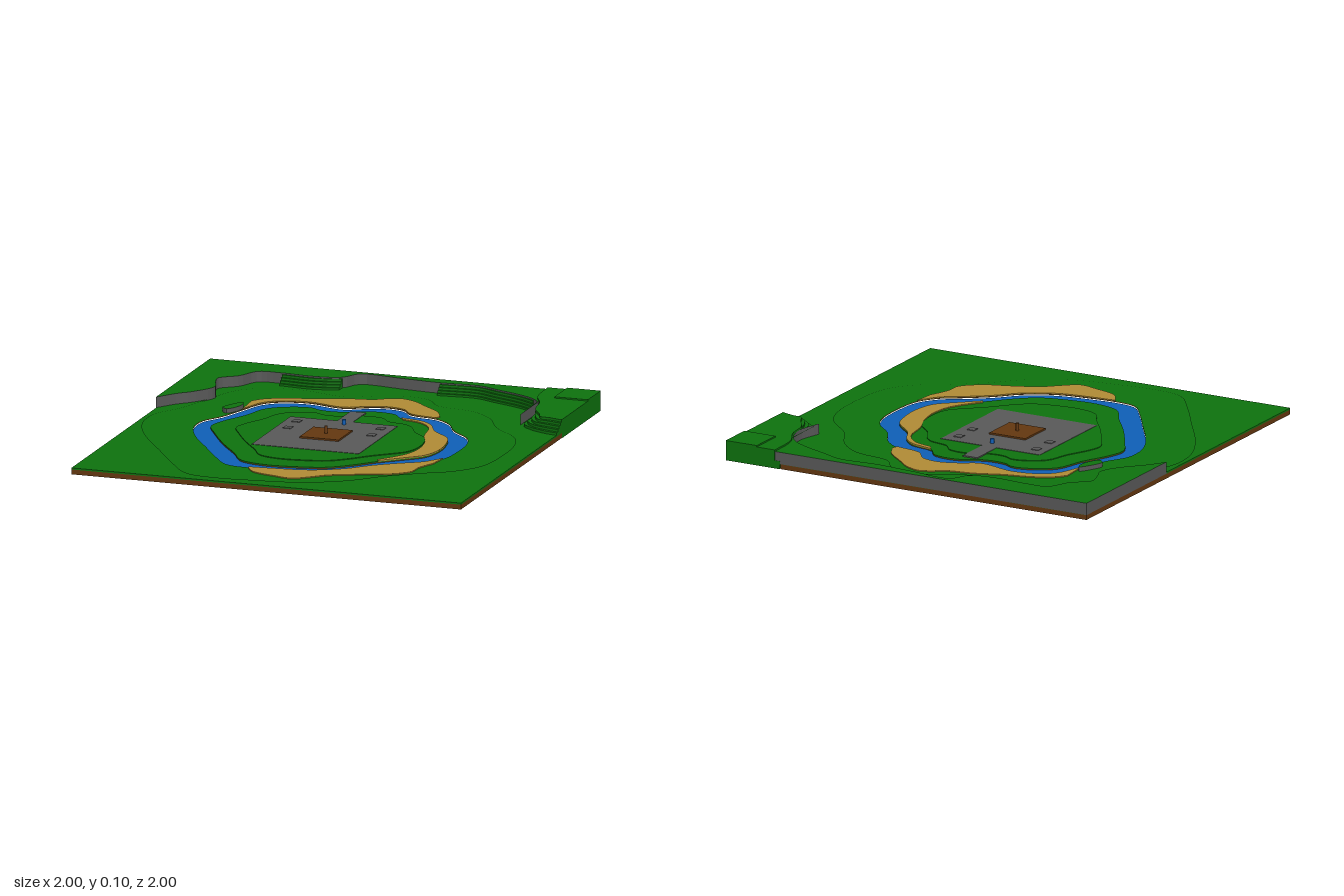
import * as THREE from 'three';

const mat = (name, color) => Object.assign(new THREE.MeshStandardMaterial({ color }), { name });
const grass = mat('grass green', 0x0e730e);
const earth = mat('earth brown', 0x643810);
const water = mat('water blue', 0x0f60b8);
const sand = mat('sand', 0xb28c36);
const stone = mat('stone grey', 0x595959);

// Outlines are lists of [x, z]
const riverOuter = [[0.05, -0.61], [0.14, -0.59], [0.2, -0.52], [0.34, -0.49], [0.43, -0.42], [0.5, -0.3],
  [0.6, -0.2], [0.64, -0.1], [0.65, 0.05], [0.63, 0.22], [0.56, 0.32], [0.47, 0.38], [0.35, 0.47], [0.25, 0.57],
  [0.1, 0.65], [-0.08, 0.68], [-0.2, 0.69], [-0.32, 0.67], [-0.42, 0.55], [-0.52, 0.4], [-0.65, 0.2],
  [-0.71, 0.05], [-0.71, -0.08], [-0.65, -0.19], [-0.6, -0.34], [-0.55, -0.48], [-0.48, -0.54],
  [-0.34, -0.57], [-0.15, -0.53], [-0.05, -0.58]];
const riverInner = [[0.06, -0.52], [0.13, -0.5], [0.18, -0.44], [0.3, -0.41], [0.36, -0.36], [0.42, -0.25],
  [0.52, -0.15], [0.55, -0.05], [0.56, 0.08], [0.53, 0.2], [0.45, 0.28], [0.35, 0.37], [0.25, 0.48],
  [0.15, 0.56], [0, 0.6], [-0.15, 0.61], [-0.28, 0.57], [-0.36, 0.45], [-0.47, 0.3], [-0.58, 0.12],
  [-0.64, 0], [-0.62, -0.1], [-0.55, -0.25], [-0.5, -0.4], [-0.4, -0.47], [-0.3, -0.49], [-0.24, -0.46],
  [-0.13, -0.46], [-0.03, -0.51]];
const cliffLine = [[-1.002, -0.22], [-0.93, -0.32], [-0.87, -0.38], [-0.8, -0.5], [-0.83, -0.6], [-0.84, -0.67],
  [-0.76, -0.74], [-0.7, -0.85], [-0.58, -0.86], [-0.4, -0.85], [-0.28, -0.88], [-0.22, -0.97], [0, -0.955],
  [0.2, -0.94], [0.4, -0.95], [0.5, -0.91], [0.65, -0.85], [0.73, -0.8], [0.78, -0.73], [0.8, -0.62], [0.77, -0.5]];

// Smooth an outline through its points
function smooth(points, closed = true) {
  const curve = new THREE.CatmullRomCurve3(points.map(([x, z]) => new THREE.Vector3(x, 0, z)), closed);
  return curve.getPoints(points.length * 4).map((p) => [p.x, p.z]);
}
const scale = (points, s) => points.map(([x, z]) => [x * s, z * s]);
const toPath = (points) => points.map(([x, z]) => new THREE.Vector2(x, -z));

// Flat layer with vertical sides between two heights
function layer(group, name, points, y0, y1, material, hole) {
  const shape = new THREE.Shape(toPath(points));
  if (hole) shape.holes.push(new THREE.Path(toPath(hole)));
  const geometry = new THREE.ExtrudeGeometry(shape, { depth: y1 - y0, bevelEnabled: false });
  geometry.rotateX(-Math.PI / 2).translate(0, y0, 0);
  const mesh = new THREE.Mesh(geometry, material);
  mesh.name = name;
  group.add(mesh);
}
const rect = (x0, x1, z0, z1) => [[x0, z0], [x1, z0], [x1, z1], [x0, z1]];

function cylinder(group, name, radius, x, z, y0, y1, material) {
  const mesh = new THREE.Mesh(new THREE.CylinderGeometry(radius, radius, y1 - y0, 12), material);
  mesh.position.set(x, (y0 + y1) / 2, z);
  mesh.name = name;
  group.add(mesh);
}

export function createModel() {
  const model = new THREE.Group();
  model.name = 'islandTerrain';
  const outer = smooth(riverOuter);
  const inner = smooth(riverInner);
  const square = rect(-1, 1, -1, 1);

  // Earth slab, open at the river and under the grassy corner hill
  const slab = [[-1, -1], [0.7, -1], [0.82, -0.75], [0.9, -0.58], [1, -0.45], [1, 1], [-1, 1]];
  layer(model, 'earthSlab', slab, 0, 0.024, earth, outer);
  layer(model, 'islandEarth', inner, 0, 0.024, earth);
  layer(model, 'river', outer, 0, 0.02, water, inner);

  // Low grass by the water, with higher terraces further away
  layer(model, 'riverBank', square, 0.024, 0.028, grass, outer);
  layer(model, 'outerMeadow', square, 0.028, 0.032, grass, scale(outer, 1.36));
  layer(model, 'islandGrass', inner, 0.024, 0.028, grass);
  layer(model, 'islandTerrace', scale(inner, 0.8), 0.028, 0.032, grass);

  // Sandy beaches that follow the water's edge
  const northEdge = [...riverOuter.slice(24), ...riverOuter.slice(0, 4)];
  const north = [[0.35, -0.52], [0.31, -0.6], [0.22, -0.68], [0.14, -0.75], [0.06, -0.78], [0, -0.76], [-0.06, -0.72],
    [-0.2, -0.69], [-0.33, -0.64], [-0.48, -0.6], [-0.57, -0.55], [-0.61, -0.5]];
  const south = [[-0.2, 0.7], [-0.15, 0.77], [-0.03, 0.81], [0.07, 0.83], [0.14, 0.78], [0.22, 0.71], [0.35, 0.65],
    [0.48, 0.6], [0.57, 0.52], [0.58, 0.43], [0.62, 0.33]];
  const east = [[0.34, 0.35], [0.38, 0.3], [0.44, 0.2], [0.46, 0.08], [0.44, -0.05], [0.4, -0.15], [0.37, -0.3],
    [0.3, -0.38], [0.2, -0.41]];
  const beaches = [['northBeach', northEdge, north], ['southBeach', riverOuter.slice(9, 17), south],
    ['islandBeach', riverInner.slice(2, 12), east]];
  for (const [name, edge, bank] of beaches) {
    layer(model, name, [...smooth(edge, false), ...smooth(bank, false)], 0.027, 0.033, sand);
  }

  // Rocky plateau with a grass top
  const rocky = [grass, stone];
  layer(model, 'plateau', [...smooth(cliffLine, false), [0.77, -1.002], [-1.002, -1.002]], 0.025, 0.085, rocky);
  layer(model, 'rockOutcrop', smooth([[-0.62, -0.4], [-0.605, -0.36], [-0.62, -0.29], [-0.65, -0.25], [-0.68, -0.28],
    [-0.66, -0.34]]), 0.025, 0.05, rocky);

  // Grass terraces climbing the cliff
  for (const [from, to] of [[8, 11], [13, 18]]) {
    const line = smooth(cliffLine.slice(from, to), false);
    for (let i = 0; i < 4; i++) {
      const front = line.map(([x, z]) => [x, z + 0.045 - i * 0.012]);
      layer(model, 'cliffTerrace', [...front, ...line.map(([x, z]) => [x, z - 0.01]).reverse()],
        0.03, 0.042 + i * 0.012, grass);
    }
  }

  // Grassy corner hill reaching down to the base
  layer(model, 'cornerHillBase', [[0.7, -1.003], [0.82, -0.75], [0.9, -0.58], [1.002, -0.45], [1.002, -1.003]],
    0, 0.04, grass);
  for (let i = 0; i < 5; i++) {
    const d = i * 0.018;
    const rim = [[0.73, -1.003], [0.74, -0.83], [0.79, -0.72], [0.81, -0.6], [0.79 + d, -0.49 - d / 3],
      [0.85 + d / 2, -0.43 - d / 2], [0.93, -0.39 - d], [1.002, -0.37 - d]];
    layer(model, 'cornerHillTerrace', [...smooth(rim, false), [1.002, -1.003]], 0.026, 0.045 + i * 0.012, grass);
  }
  layer(model, 'cornerHillTop', rect(0.83, 1.002, -1.003, -0.82), 0.09, 0.1, grass);

  // Paved square and path with four low stone slabs
  layer(model, 'plaza', rect(-0.33, 0.22, -0.275, 0.285), 0.026, 0.034, stone);
  layer(model, 'path', rect(-0.09, -0.01, -0.465, -0.27), 0.026, 0.034, stone);
  for (const x of [-0.27, 0.16]) {
    for (const z of [-0.2, -0.07]) layer(model, 'plazaSlab', rect(x - 0.02, x + 0.02, z - 0.02, z + 0.02), 0.034, 0.037, stone);
  }

  // Wooden platform with a post, and a water pipe beside the path
  layer(model, 'platform', rect(-0.15, 0.05, -0.1, 0.1), 0.034, 0.042, earth);
  cylinder(model, 'post', 0.008, -0.05, 0, 0.042, 0.08, earth);
  cylinder(model, 'waterPipe', 0.01, -0.035, -0.22, 0.034, 0.058, water);
  return model;
}
